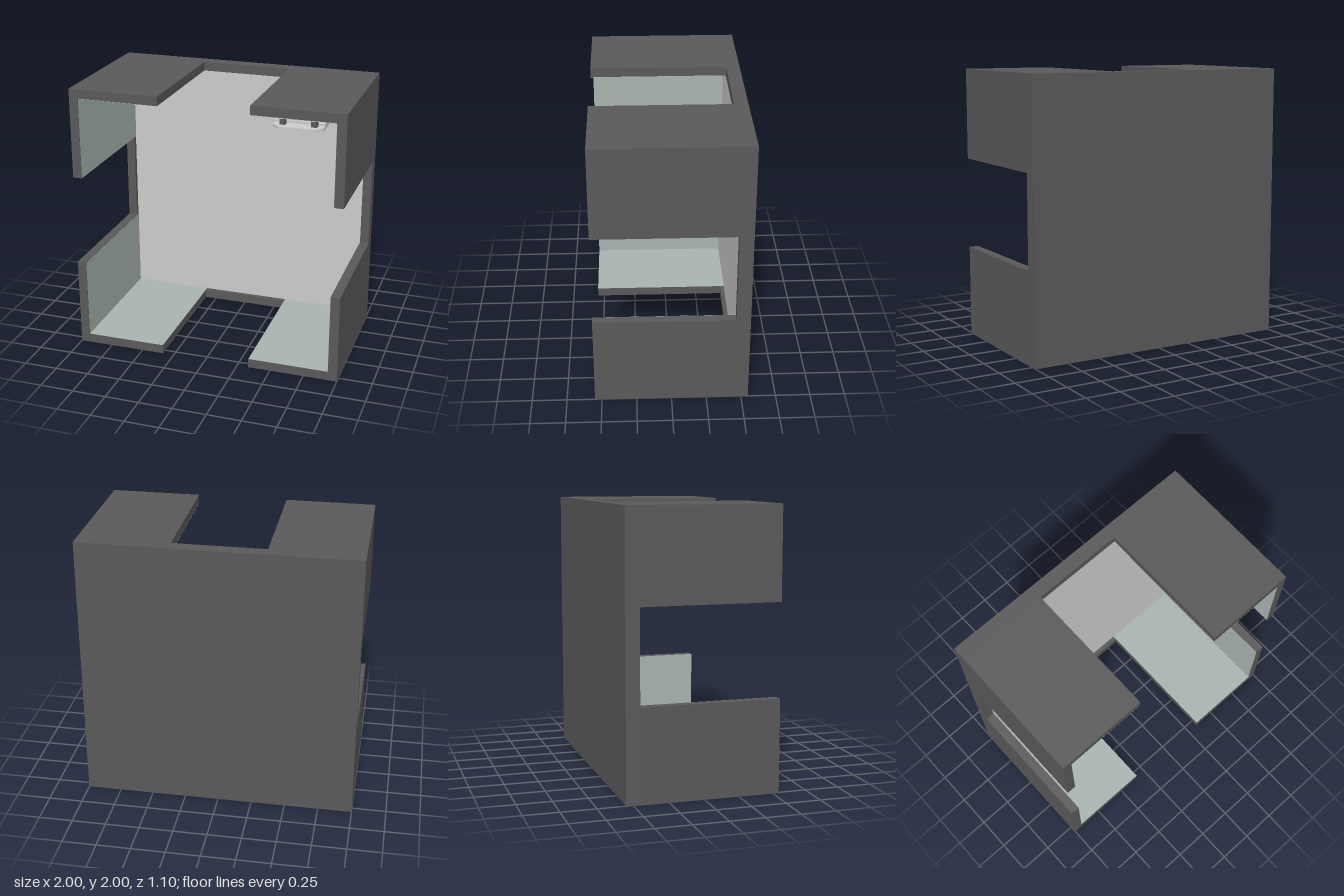
import * as THREE from 'three';

const H = 1, IN = 0.933, NOTCH = 0.335;          // half size, inner face, half notch width
const Z0 = -0.55, PANEL = -0.483, RIM = -0.45, Z1 = 0.55;

const mat = (color, side = THREE.FrontSide) =>
  new THREE.MeshStandardMaterial({ color, side });

function polygon(points) {
  return new THREE.Shape(points.map(([x, y]) => new THREE.Vector2(x, y)));
}

function add(parent, name, geometry, material, x = 0, y = 0, z = 0) {
  const mesh = new THREE.Mesh(geometry, material);
  mesh.name = name;
  mesh.position.set(x, y, z);
  parent.add(mesh);
  return mesh;
}

const extrude = (shape, depth) =>
  new THREE.ExtrudeGeometry(shape, { depth, bevelEnabled: false });

export function createModel() {
  const model = new THREE.Group();
  model.name = 'openCabinet';
  const dark = mat(0x595959), pale = mat(0xcccccc);
  const lining = mat(0xa8b4b1, THREE.DoubleSide);

  const shell = new THREE.Group();
  shell.name = 'shell';
  shell.position.y = H;
  model.add(shell);

  // Back panel with its pale inner face
  add(shell, 'backPanel', new THREE.BoxGeometry(2 * H, 2 * H, PANEL - Z0), dark, 0, 0, (Z0 + PANEL) / 2);
  add(shell, 'backLining', new THREE.PlaneGeometry(2 * IN, 2 * IN), pale, 0, 0, PANEL + 0.002);

  // Low rim running round the panel, behind the notches
  const ring = polygon([[-H, -H], [H, -H], [H, H], [-H, H]]);
  ring.holes.push(polygon([[-IN, -IN], [-IN, IN], [IN, IN], [IN, -IN]]));
  add(shell, 'rim', extrude(ring, RIM - PANEL), dark, 0, 0, PANEL);

  // Four L-shaped corner walls, lined on the inside
  const cornerGeometry = extrude(polygon([
    [H, NOTCH], [H, H], [NOTCH, H], [NOTCH, IN], [IN, IN], [IN, NOTCH],
  ]), Z1 - RIM);
  const width = IN - NOTCH, mid = (IN + NOTCH) / 2, face = IN - 0.002;
  const depth = Z1 - PANEL, zMid = (Z1 + PANEL) / 2;
  for (let i = 0; i < 4; i++) {
    const corner = new THREE.Group();
    corner.name = 'corner';
    corner.rotation.z = i * Math.PI / 2;
    add(corner, 'cornerWall', cornerGeometry, dark, 0, 0, RIM);
    add(corner, 'liningAcross', new THREE.PlaneGeometry(width, depth), lining, mid, face, zMid)
      .rotation.x = Math.PI / 2;
    add(corner, 'liningUpright', new THREE.PlaneGeometry(depth, width), lining, face, mid, zMid)
      .rotation.y = -Math.PI / 2;
    shell.add(corner);
  }

  // Small hanging fixture under the top: two chamfered plates joined by posts
  const fixture = new THREE.Group();
  fixture.name = 'hangingFixture';
  fixture.position.set(0.646, 0, 0.335);
  model.add(fixture);
  const a = 0.176, c = 0.126;
  const plateShape = polygon([
    [-c, -a], [c, -a], [a, -c], [a, c], [c, a], [-c, a], [-a, c], [-a, -c],
  ]);
  const plate = (name, y, height) => {
    const geometry = extrude(plateShape, height).rotateX(-Math.PI / 2);
    add(fixture, name, geometry, pale, 0, y, 0);
  };
  plate('topPlate', 1.915, 0.017);
  plate('bottomPlate', 1.84, 0.02);
  add(fixture, 'traySlab', new THREE.BoxGeometry(2 * a, 0.018, 2 * c - 0.1), pale, 0, 1.867, 0);
  for (const x of [-0.11, 0.11]) for (const z of [-0.11, 0.11]) {
    add(fixture, 'post', new THREE.BoxGeometry(0.04, 0.06, 0.04), dark, x, 1.887, z);
  }
  return model;
}
